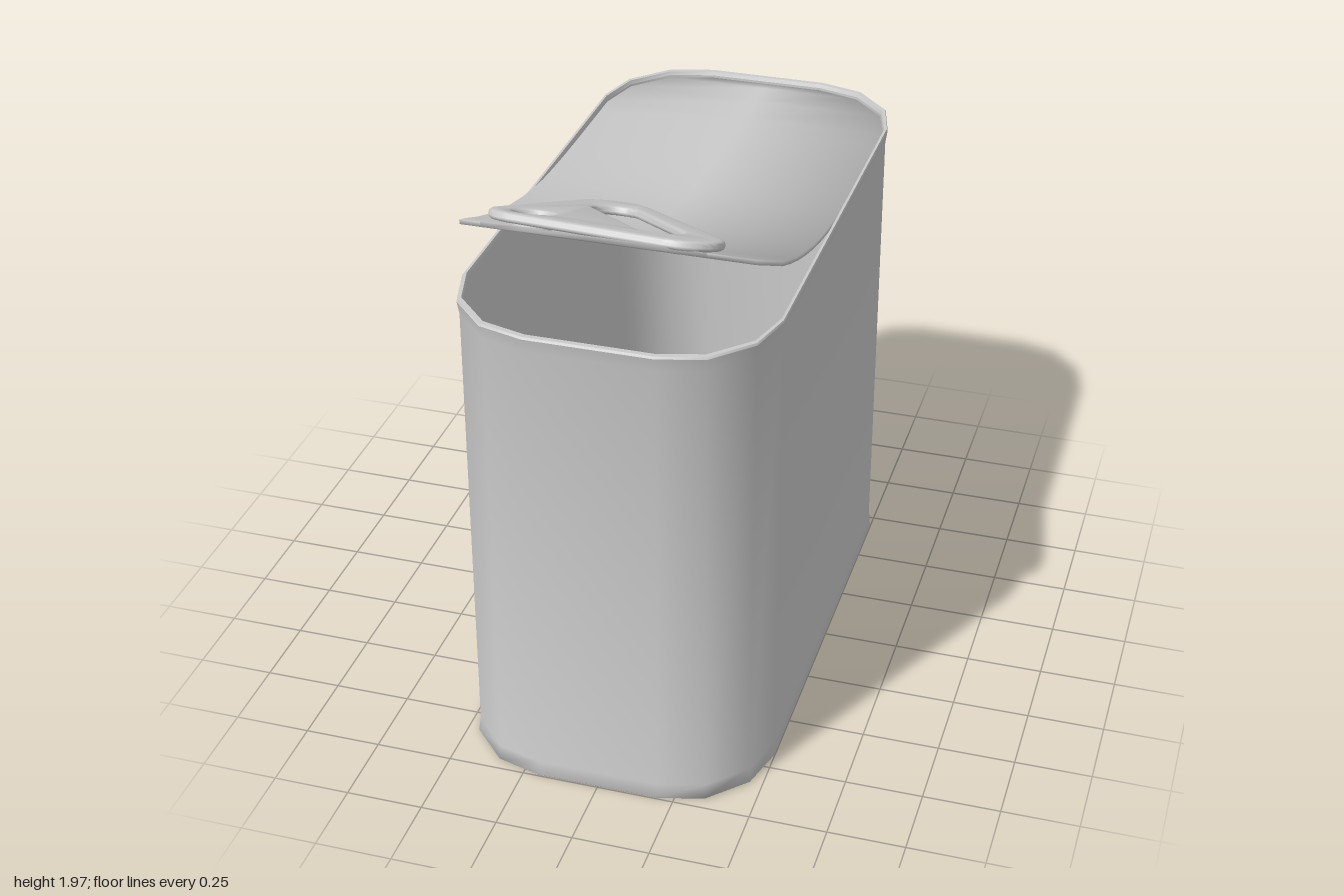
import * as THREE from 'three';
import { toCreasedNormals } from 'three/addons/utils/BufferGeometryUtils.js';

const material = new THREE.MeshStandardMaterial({ color: 0xcccccc, side: THREE.DoubleSide });

// One rounded corner of the plan, mirrored into the full outline
const CORNER = [[0.5, 0.69], [0.46, 0.84], [0.345, 0.96], [0.2, 1]];
const flip = (sx, sz) => CORNER.map(([x, z]) => [x * sx, z * sz]);
const OUTLINE = [...flip(1, 1), ...flip(-1, 1).reverse(), ...flip(-1, -1), ...flip(1, -1).reverse()];

function addMesh(parent, name, geometry, crease) {
  const mesh = new THREE.Mesh(toCreasedNormals(geometry, crease), material);
  mesh.name = name;
  parent.add(mesh);
  return mesh;
}

// Skin between scaled copies of the outline, each ring [scale, y]; the first ring may be closed by a flat cap
function loft(rings, capped) {
  const positions = [], index = [], n = OUTLINE.length;
  for (const [s, y] of rings) for (const [x, z] of OUTLINE) positions.push(x * s, y, z * s);
  for (let r = 0; r < rings.length - 1; r++) {
    for (let i = 0; i < n; i++) {
      const a = r * n + i, b = r * n + (i + 1) % n;
      index.push(a, a + n, b, b, a + n, b + n);
    }
  }
  if (capped) {
    const contour = OUTLINE.map(([x, z]) => new THREE.Vector2(x, z));
    index.push(...THREE.ShapeUtils.triangulateShape(contour, []).flat());
  }
  const geometry = new THREE.BufferGeometry();
  geometry.setAttribute('position', new THREE.Float32BufferAttribute(positions, 3));
  geometry.setIndex(index);
  return geometry;
}

// Half width of the lid at a given z
const LID_SCALE = 0.972;
function lidHalfWidth(z) {
  const a = Math.abs(z) / LID_SCALE;
  for (let i = 0; i < 3; i++) {
    const [x0, z0] = CORNER[i], [x1, z1] = CORNER[i + 1];
    if (a <= z0) return x0 * LID_SCALE;
    if (a <= z1) return THREE.MathUtils.lerp(x0, x1, (a - z0) / (z1 - z0)) * LID_SCALE;
  }
  return 0.2 * LID_SCALE;
}

// The lid lies flush at the back and curls up towards the front
const lidHeight = (z) => (z >= 0 ? 1.608 + 0.1 * z + 0.265 * z * z : 1.608 - 0.015 * (1 - Math.exp(6 * z)));

function lidGeometry() {
  const ends = CORNER.map(([, z]) => z * LID_SCALE);
  const rows = ends.map((z) => -z).reverse();
  for (let i = 1; i < 14; i++) rows.push(ends[0] * (i / 7 - 1));
  rows.push(...ends);
  const segments = rows.length - 1;
  const geometry = new THREE.BoxGeometry(2, 1, 2, 2, 1, segments);
  const p = geometry.attributes.position;
  for (let i = 0; i < p.count; i++) {
    const z = rows[Math.round((p.getZ(i) + 1) / 2 * segments)];
    p.setXYZ(i, p.getX(i) * lidHalfWidth(z), lidHeight(z) - (p.getY(i) > 0 ? 0 : 0.015), z);
  }
  return geometry;
}

// Convex outline around circles [x, y, r], listed counter-clockwise
function roundedHull(circles, Type) {
  const path = new Type();
  const n = circles.length;
  const normalAngle = (a, b) => {
    const dx = b[0] - a[0], dy = b[1] - a[1];
    return Math.atan2(dy, dx) - Math.PI / 2 - Math.asin((b[2] - a[2]) / Math.hypot(dx, dy));
  };
  circles.forEach((c, i) => {
    const start = normalAngle(circles[(i + n - 1) % n], c);
    let end = normalAngle(c, circles[(i + 1) % n]);
    while (end < start) end += Math.PI * 2;
    path.absarc(c[0], c[1], c[2], start, end, false);
  });
  path.closePath();
  return path;
}

export function createModel() {
  const model = new THREE.Group();
  model.name = 'openTin';

  // Outer wall with small flares at both ends, softly shaded into the flat bottom
  addMesh(model, 'canBody', loft([
    [0.995, 0], [1, 0.006], [0.99, 0.05], [0.99, 1.56], [1, 1.605],
  ], true), 2);

  // Rim, inner wall and inner floor
  addMesh(model, 'rim', loft([[1, 1.605], [0.996, 1.612], [0.98, 1.612], [0.975, 1.6]]), 0.75);
  addMesh(model, 'innerWall', loft([[0.975, 0.015], [0.975, 1.6]], true), 0.75);

  addMesh(model, 'peeledLid', lidGeometry(), 2);

  // Pull tab lying along the raised lid
  const slope = Math.atan(0.396), run = Math.cos(slope);
  const onSlope = (x, z, r) => [x, (z - 0.2) / run, r];
  const tab = new THREE.Group();
  tab.name = 'pullTab';
  tab.position.set(0, 1.659, 0.2);
  tab.rotation.x = Math.PI / 2 - slope;
  model.add(tab);

  // Plate with rounded edges, a long finger slot and a round hole
  const bevel = 0.015;
  const corners = [onSlope(-0.15, 0.312, 0.12), onSlope(0.235, 0.845, 0.125), onSlope(-0.255, 0.76, 0.115)];
  const slotRadius = 0.07 + bevel;
  const rivetAt = onSlope(-0.24, 0.755, 0.062 + bevel);
  const shape = roundedHull(corners.map(([x, y, r]) => [x, y, r - bevel]), THREE.Shape);
  shape.holes.push(
    roundedHull([onSlope(-0.105, 0.41, slotRadius), onSlope(0.15, 0.775, slotRadius)], THREE.Path),
    new THREE.Path().absarc(...rivetAt, 0, Math.PI * 2, false),
  );
  addMesh(tab, 'tabPlate', new THREE.ExtrudeGeometry(shape, {
    depth: 0.006, curveSegments: 10, bevelThickness: 0.012, bevelSize: bevel, bevelSegments: 3,
  }), 0.9);

  // Rivet joining the tab to the lid
  const rivet = addMesh(tab, 'tabRivet', new THREE.CylinderGeometry(0.062, 0.062, 0.03, 20), 0.75);
  rivet.rotation.x = Math.PI / 2;
  rivet.position.set(rivetAt[0], rivetAt[1], 0.02);

  return model;
}
